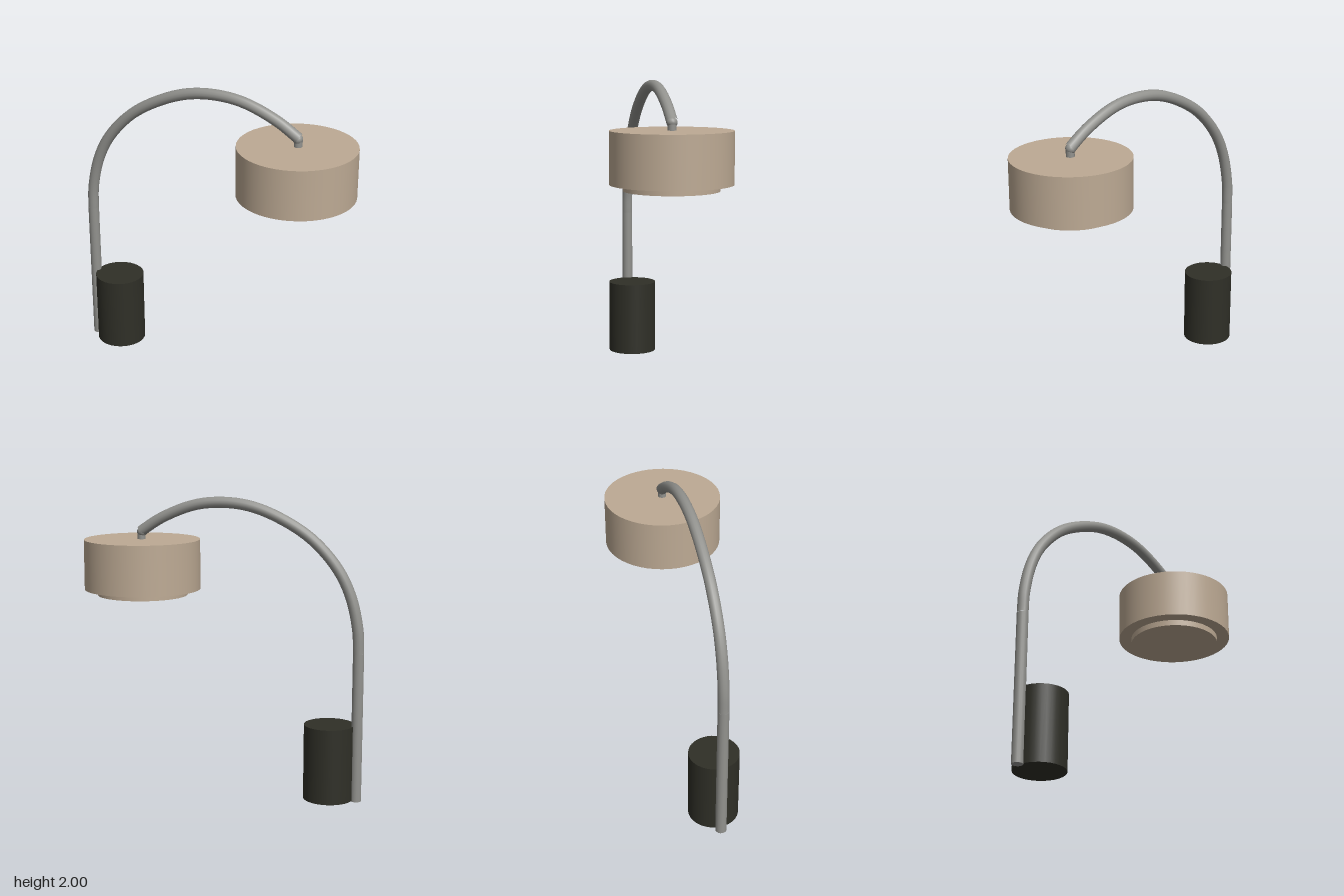
import * as THREE from 'three';

const material = (name, color) => {
  const m = new THREE.MeshStandardMaterial({ color });
  m.name = name;
  return m;
};

export function createModel() {
  const lamp = new THREE.Group();
  lamp.name = 'arcLamp';
  const steel = material('grey steel', 0x92928e);
  const shadeTan = material('tan shade', 0xbdaa94);
  const charcoal = material('charcoal base', 0x2f2f27);

  const add = (name, geometry, mat, x = 0, y = 0) => {
    const mesh = new THREE.Mesh(geometry, mat);
    mesh.name = name;
    mesh.position.set(x, y, 0);
    lamp.add(mesh);
    return mesh;
  };
  // Upright cylinder given by its bottom and top heights
  const drum = (name, mat, x, radius, bottom, top, sides) =>
    add(name, new THREE.CylinderGeometry(radius, radius, top - bottom, sides), mat, x, (bottom + top) / 2);

  // Weighted base beside the pole
  drum('base', charcoal, -0.74, 0.168, 0.005, 0.512, 32);

  // Straight pole, running into the arc
  const poleX = -0.927, poleR = 0.037, bendY = 1.0;
  drum('pole', steel, poleX, poleR, 0, bendY, 16);

  // Curved arm
  const arc = new THREE.CatmullRomCurve3([
    [poleX, bendY], [-0.92, 1.15], [-0.87, 1.37], [-0.78, 1.55], [-0.61, 1.735],
    [-0.41, 1.86], [-0.2, 1.94], [0, 1.963], [0.2, 1.94], [0.43, 1.848], [0.575, 1.755],
  ].map(([x, y]) => new THREE.Vector3(x, y, 0)));
  add('arm', new THREE.TubeGeometry(arc, 48, poleR, 14), steel);
  const tip = add('armTip', new THREE.SphereGeometry(0.034, 14, 10), steel, 0.568, 1.752);
  tip.scale.z = 1.05;

  // Short stem from the arm to the shade
  const shadeX = 0.568;
  drum('stem', steel, shadeX + 0.004, 0.028, 1.69, 1.755, 14);

  // Drum shade with a smaller diffuser below
  drum('shade', shadeTan, shadeX, 0.392, 1.365, 1.702, 48);
  drum('diffuser', shadeTan, shadeX, 0.306, 1.325, 1.37, 40);

  return lamp;
}
